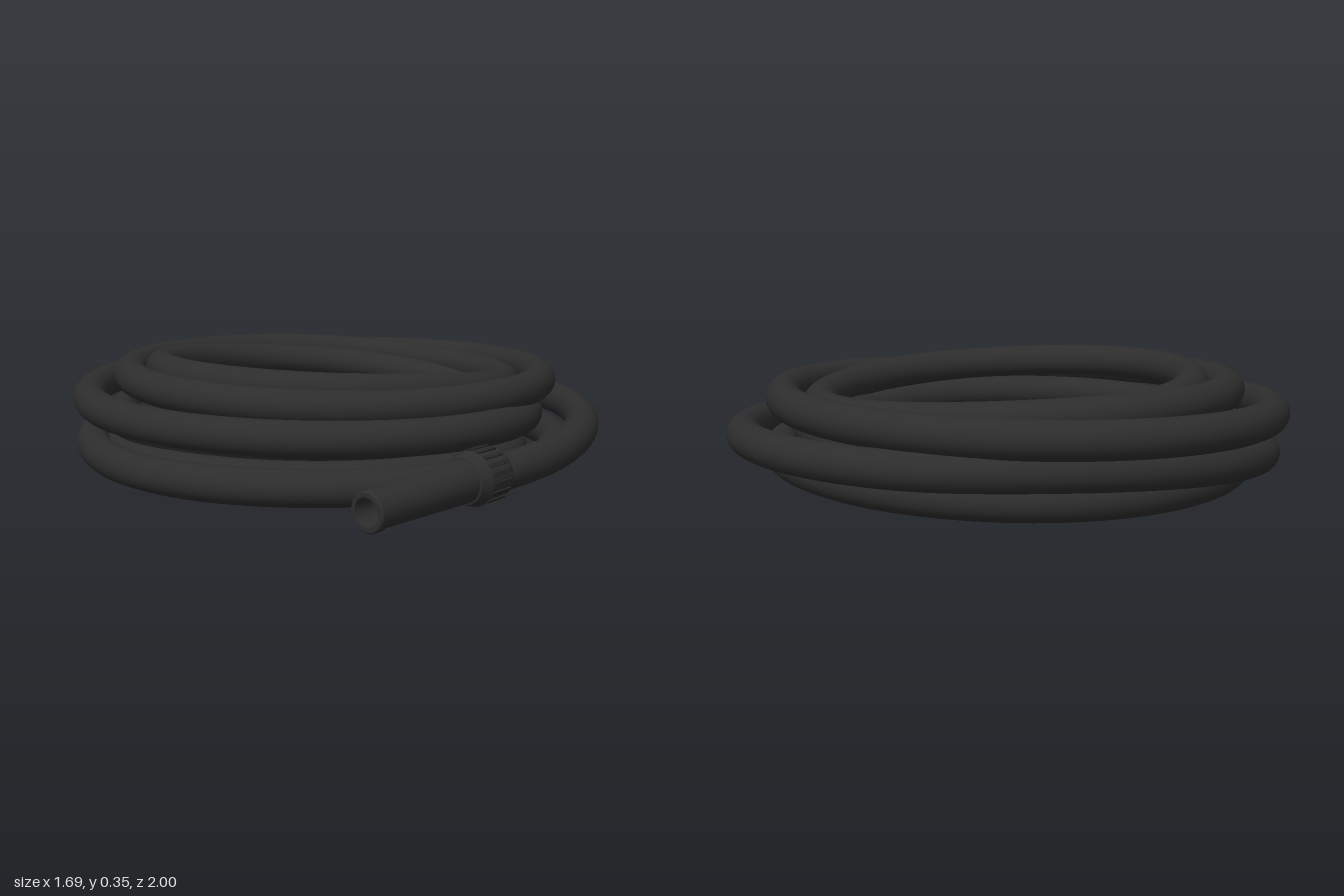
import * as THREE from 'three';

const TUBE_RADIUS = 0.052;
const CENTRE_X = -0.05, CENTRE_Z = -0.15;

// Coil path from keys of [quarter turns, radius, height]; angle 0 is the front, turning to +x, back, -x
function coilCurve(keys) {
  const profile = new THREE.CatmullRomCurve3(
    keys.map(([q, r, y]) => new THREE.Vector3(q, r, y)), false, 'catmullrom', 0.5);
  const points = profile.getPoints((keys.length - 1) * 8).map((p) => {
    const a = p.x * Math.PI / 2;
    return new THREE.Vector3(CENTRE_X + p.y * Math.sin(a), p.z, CENTRE_Z + p.y * Math.cos(a));
  });
  return new THREE.CatmullRomCurve3(points);
}

export function createModel() {
  const model = new THREE.Group();
  model.name = 'coiledHose';
  const rubber = new THREE.MeshStandardMaterial({ color: 0x2d2d2d });
  rubber.name = 'black rubber';
  const dark = new THREE.MeshStandardMaterial({ color: 0x262626 });
  dark.name = 'dark grip';

  const add = (parent, geometry, material, name) => {
    const mesh = new THREE.Mesh(geometry, material);
    mesh.name = name;
    parent.add(mesh);
    return mesh;
  };

  // One continuous hose
  const hose = coilCurve([
    // from the nozzle down to the ground and inwards
    [0.08, 0.925, 0.107], [0.5, 0.856, 0.13], [1, 0.838, 0.155], [1.5, 0.81, 0.16],
    [2, 0.76, 0.15], [3, 0.75, 0.075], [4, 0.84, 0.083], [5, 0.715, 0.077],
    [6, 0.68, 0.06], [7, 0.66, 0.066], [8, 0.71, 0.076], [9, 0.57, 0.06],
    [10, 0.58, 0.056], [11, 0.55, 0.062], [12, 0.59, 0.068], [13, 0.52, 0.06],
    [14, 0.54, 0.06], [15, 0.53, 0.09],
    // up the inside to the top loop
    [16, 0.54, 0.14], [17, 0.52, 0.19], [18, 0.545, 0.255], [19, 0.52, 0.305],
    // winding down and outwards over the top
    [20, 0.51, 0.285], [21, 0.62, 0.24], [22, 0.66, 0.282], [23, 0.62, 0.28],
    [24, 0.63, 0.255], [24.5, 0.695, 0.262], [25, 0.73, 0.263], [25.5, 0.785, 0.255],
    [26, 0.80, 0.24], [27, 0.75, 0.21],
    // tucked back in under the upper loops
    [28, 0.74, 0.19], [29, 0.64, 0.165], [30, 0.69, 0.15], [31, 0.65, 0.15],
    [32, 0.62, 0.16], [33, 0.53, 0.16], [34, 0.57, 0.17], [35, 0.54, 0.18],
    [36, 0.53, 0.18], [37, 0.54, 0.14], [38, 0.60, 0.10],
  ]);
  add(model, new THREE.TubeGeometry(hose, 920, TUBE_RADIUS, 20), rubber, 'hose');
  const hoseEnd = add(model, new THREE.SphereGeometry(TUBE_RADIUS, 20, 12), rubber, 'hoseEnd');
  hoseEnd.position.copy(hose.getPoint(1));

  // Nozzle, built along +y and then laid along the end of the hose
  const nozzle = new THREE.Group();
  nozzle.name = 'nozzle';
  const start = new THREE.Vector3(0.065, 0.11, 0.768);
  const tip = new THREE.Vector3(-0.33, 0.092, 0.951);
  const length = start.distanceTo(tip);
  nozzle.position.copy(start);
  nozzle.quaternion.setFromUnitVectors(
    new THREE.Vector3(0, 1, 0), tip.clone().sub(start).normalize());
  model.add(nozzle);

  const lathe = (pts) =>
    new THREE.LatheGeometry(pts.map(([r, y]) => new THREE.Vector2(r, y)), 32);

  // Tapered barrel with an open bore
  add(nozzle, lathe([
    [0.06, 0], [0.058, 0.09], [0.05, length - 0.045], [0.05, length - 0.03],
  ]), rubber, 'barrel');
  add(nozzle, lathe([
    [0.049, length - 0.034], [0.054, length - 0.028], [0.054, length - 0.028],
    [0.054, length - 0.005], [0.054, length - 0.005], [0.050, length],
    [0.050, length], [0.038, length], [0.038, length],
    [0.034, length - 0.12], [0.034, length - 0.12], [0, length - 0.12],
  ]), rubber, 'tipRim');

  // Grip collar with bevelled ends
  add(nozzle, lathe([
    [0.048, -0.07], [0.062, -0.068], [0.062, -0.068], [0.073, -0.05],
    [0.073, -0.05], [0.075, 0.035], [0.075, 0.035], [0.064, 0.068],
    [0.064, 0.068], [0.05, 0.072],
  ]), rubber, 'gripCollar');

  // Raised ribs around the collar
  const ribCount = 18;
  const ribGeometry = new THREE.BoxGeometry(0.011, 0.075, 0.008);
  for (let i = 0; i < ribCount; i++) {
    const a = i / ribCount * Math.PI * 2;
    const rib = add(nozzle, ribGeometry, dark, 'gripRib');
    rib.position.set(Math.sin(a) * 0.074, -0.005, Math.cos(a) * 0.074);
    rib.rotation.y = a;
  }

  return model;
}
